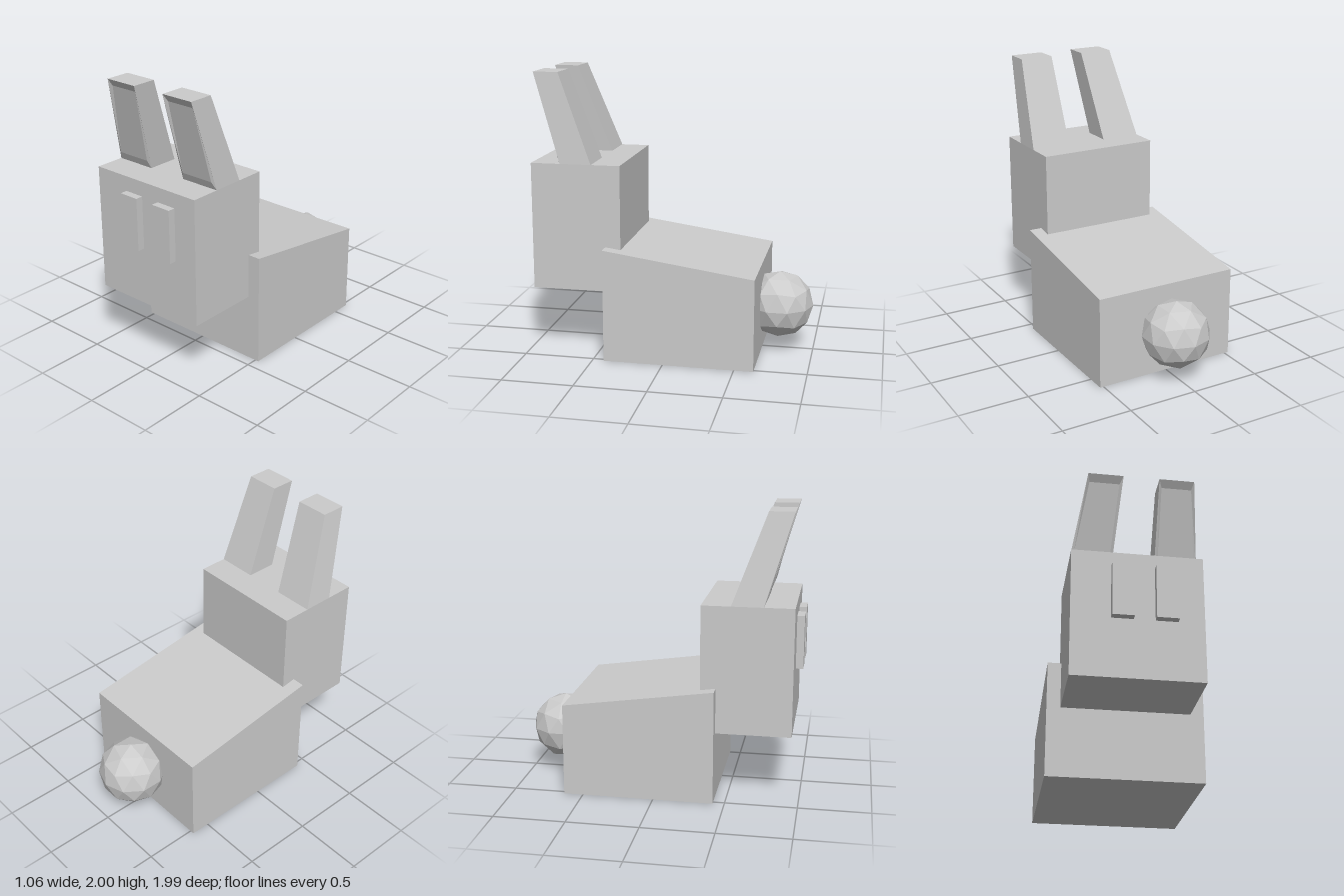
import * as THREE from 'three';

const material = new THREE.MeshStandardMaterial({ color: 0xcccccc, flatShading: true });

function add(group, name, geometry) {
  const mesh = new THREE.Mesh(geometry, material);
  mesh.name = name;
  group.add(mesh);
  return mesh;
}

// Box given by its limits on each axis
function boxBetween([x0, x1], [y0, y1], [z0, z1]) {
  return new THREE.BoxGeometry(x1 - x0, y1 - y0, z1 - z0)
    .translate((x0 + x1) / 2, (y0 + y1) / 2, (z0 + z1) / 2);
}

// Flat-shaded faces from four-cornered loops, counter-clockwise from outside
function quads(loops) {
  const points = loops.flatMap(([a, b, c, d]) => [a, b, c, a, c, d]).flat();
  const geometry = new THREE.BufferGeometry();
  geometry.setAttribute('position', new THREE.Float32BufferAttribute(points, 3));
  geometry.computeVertexNormals();
  return geometry;
}

// Forward-leaning ear with a framed front panel
function earGeometry(bottomX, topX) {
  const y0 = 1.375, y1 = 2;
  const ring = ([x0, x1], y, back, front) =>
    [[x0, y, front], [x1, y, front], [x1, y, back], [x0, y, back]];
  const b = ring(bottomX, y0, 0.515, 0.735);
  const t = ring(topX, y1, 0.745, 0.92);

  // Panel corners: a little narrower than the ear, and slightly steeper
  const panelEdge = (f, z) => [0, 1].map((i) => [
    THREE.MathUtils.lerp(bottomX[i], topX[i], f) + (i ? -0.02 : 0.02),
    THREE.MathUtils.lerp(y0, y1, f), z]);
  const [p0, p1] = panelEdge(0.09, 0.76);
  const [p3, p2] = panelEdge(0.92, 0.89);

  const faces = [[t[0], t[1], t[2], t[3]], [b[3], b[2], b[1], b[0]]];
  for (let i = 1; i < 4; i++) {
    const j = (i + 1) % 4;
    faces.push([b[i], b[j], t[j], t[i]]);
  }
  const frame = [b[0], b[1], t[1], t[0]];
  const panel = [p0, p1, p2, p3];
  frame.forEach((corner, i) => {
    const j = (i + 1) % 4;
    faces.push([corner, frame[j], panel[j], panel[i]]);
  });
  faces.push(panel);
  return quads(faces);
}

export function createModel() {
  const model = new THREE.Group();
  model.name = 'rabbit';

  // Body, its back sloping down to the tail
  const body = boxBetween([-0.53, 0.526], [0, 0.8], [-0.635, 0.42]);
  const pos = body.attributes.position;
  for (let i = 0; i < pos.count; i++) {
    if (pos.getY(i) > 0.5 && pos.getZ(i) < 0) pos.setY(i, 0.65);
  }
  body.computeVertexNormals();
  add(model, 'body', body);

  // Head and eyes
  add(model, 'head', boxBetween([-0.438, 0.435], [0.48, 1.375], [0.312, 0.943]));
  add(model, 'rightEye', boxBetween([-0.175, -0.03], [0.895, 1.27], [0.9, 0.995]));
  add(model, 'leftEye', boxBetween([0.112, 0.26], [0.895, 1.27], [0.9, 0.995]));

  // Ears
  add(model, 'rightEar', earGeometry([-0.438, -0.148], [-0.33, -0.088]));
  add(model, 'leftEar', earGeometry([0.143, 0.435], [0.16, 0.402]));

  // Faceted ball tail, turned so that one corner points straight up
  const golden = (1 + Math.sqrt(5)) / 2;
  const tail = new THREE.IcosahedronGeometry(0.24, 1)
    .rotateX(-Math.atan(golden)).rotateY(-Math.PI / 2);
  add(model, 'tail', tail).position.set(0, 0.33, -0.755);

  return model;
}
